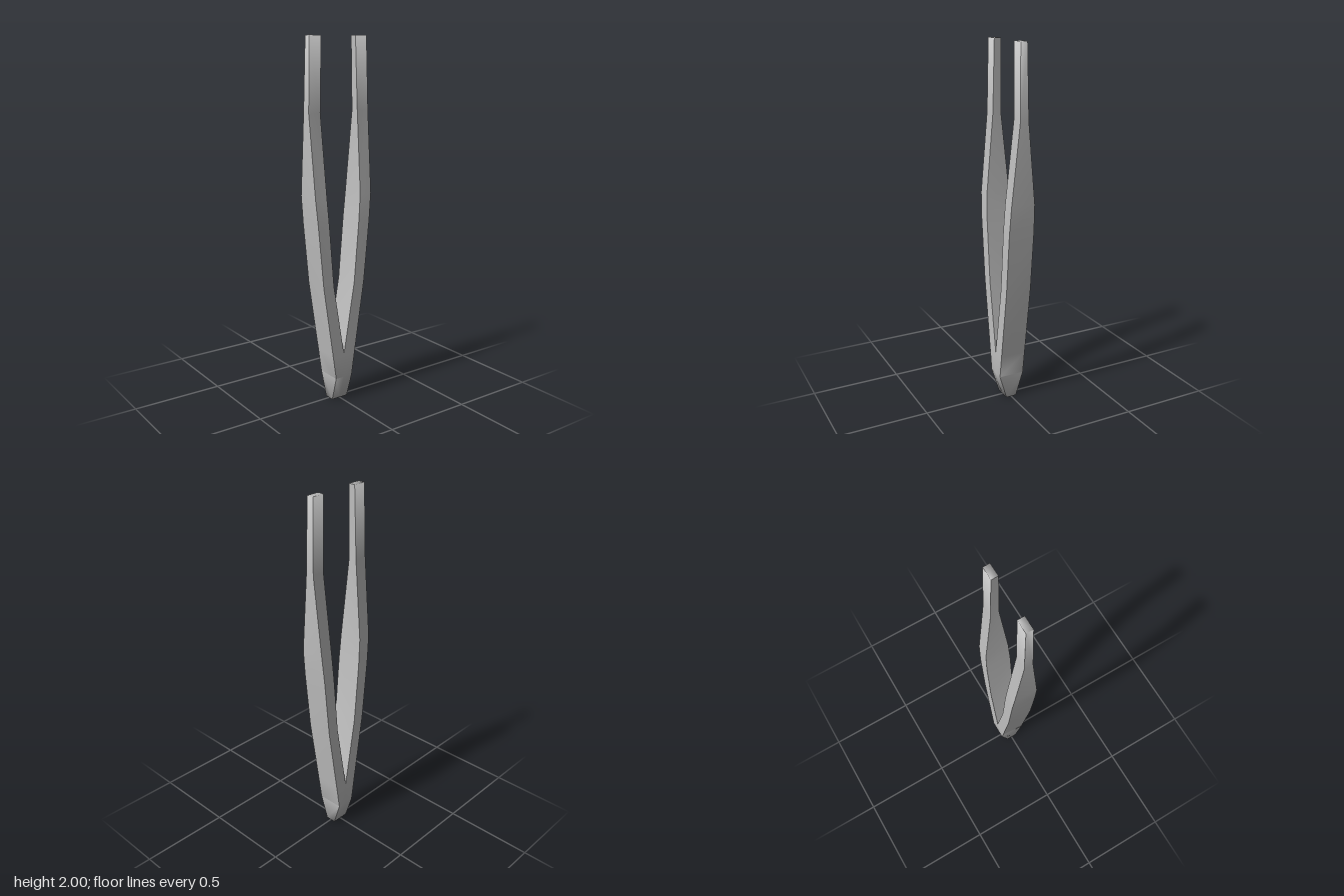
import * as THREE from 'three';
import { toCreasedNormals } from 'three/addons/utils/BufferGeometryUtils.js';

// Cross-sections of one arm, bottom to tip: [y, outer x, inner x, half depth]
const SECTIONS = [
  [0, 0.05, 0, 0.03],
  [0.14, 0.053, 0, 0.073],
  [0.275, 0.073, 0, 0.073],
  [0.68, 0.134, 0.068, 0.073],
  [1.02, 0.167, 0.097, 0.073],
  [1.17, 0.181, 0.109, 0.068],
  [1.61, 0.19, 0.119, 0.024],
  [2, 0.18, 0.108, 0.019],
];
const CROTCH = 2; // section where the two arms part

function addArm(positions, side) {
  const rings = SECTIONS.map(([y, outer, inner, d]) => [
    [side * outer, y, d],
    [side * outer, y, -d],
    [side * inner, y, -d],
    [side * inner, y, d],
  ]);
  // The mirrored arm reverses its corner order so faces still point outward
  const quad = (a, b, c, d) => {
    const corners = side > 0 ? [a, b, c, a, c, d] : [a, c, b, a, d, c];
    corners.forEach((p) => positions.push(...p));
  };

  for (let s = 0; s < rings.length - 1; s++) {
    const low = rings[s], high = rings[s + 1];
    for (let i = 0; i < 4; i++) {
      if (i === 2 && s < CROTCH) continue; // joined to the other arm here
      const j = (i + 1) % 4;
      quad(low[i], low[j], high[j], high[i]);
    }
  }
  // End caps
  const foot = rings[0], tip = rings[rings.length - 1];
  quad(foot[3], foot[2], foot[1], foot[0]);
  quad(tip[0], tip[1], tip[2], tip[3]);
}

export function createModel() {
  const model = new THREE.Group();
  model.name = 'tweezers';

  const steel = new THREE.MeshStandardMaterial({ color: 0xc0c0c0 });
  steel.name = 'steel grey';

  // Both arms and their shared base form one closed body
  const positions = [];
  addArm(positions, 1);
  addArm(positions, -1);
  const geometry = new THREE.BufferGeometry();
  geometry.setAttribute('position', new THREE.Float32BufferAttribute(positions, 3));

  // Long edges stay sharp; the tapered foot and tips shade smoothly
  const body = new THREE.Mesh(toCreasedNormals(geometry, THREE.MathUtils.degToRad(89.4)), steel);
  body.name = 'armsAndBase';
  model.add(body);
  return model;
}
